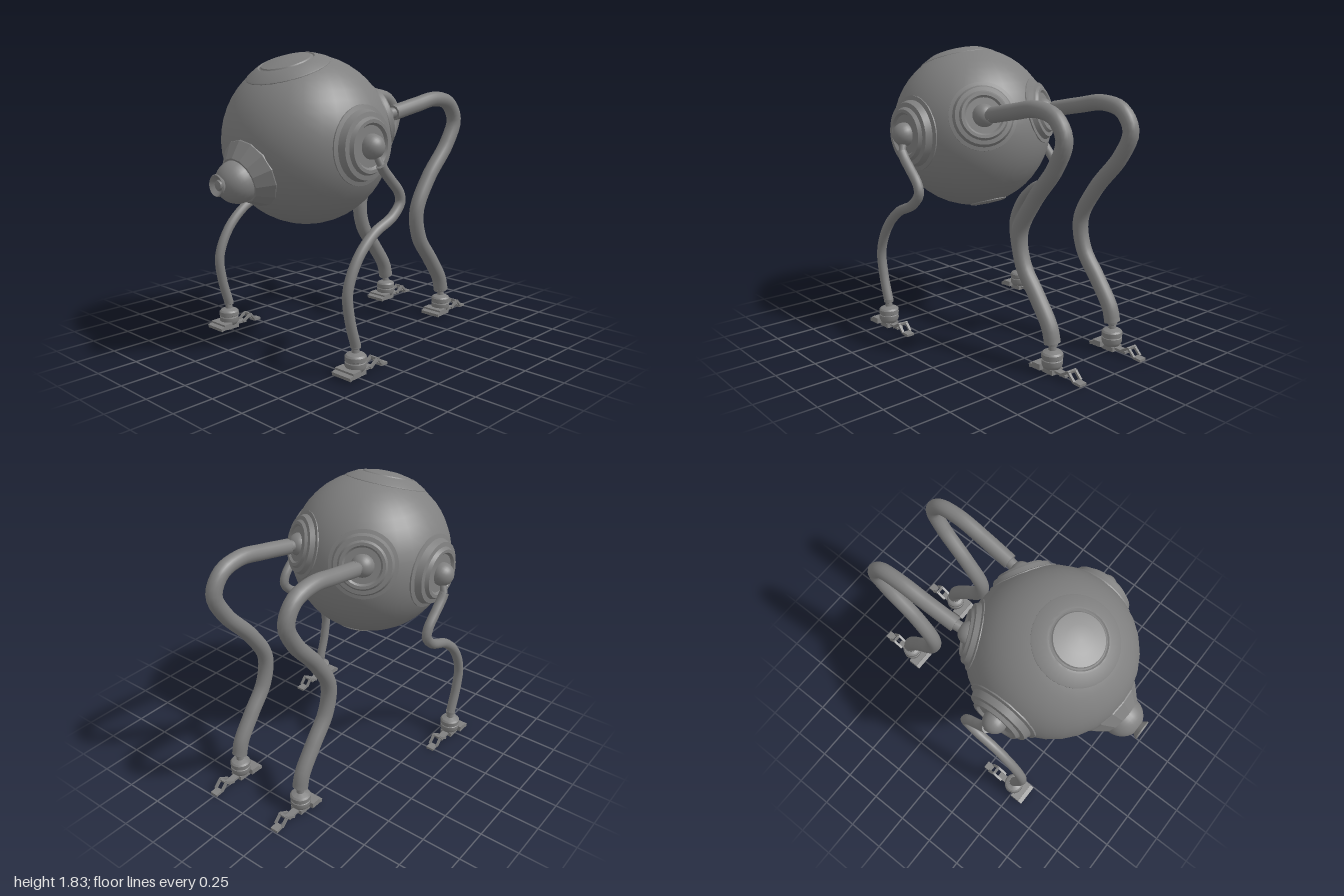
import * as THREE from 'three';
import { toCreasedNormals } from 'three/addons/utils/BufferGeometryUtils.js';

const mat = new THREE.MeshStandardMaterial({ color: 0x808080, side: THREE.DoubleSide });
const UP = new THREE.Vector3(0, 1, 0);
const CENTRE = new THREE.Vector3(0, 1.304, 0.305);
const R = 0.517;

function add(parent, name, geometry, x = 0, y = 0, z = 0) {
  const mesh = new THREE.Mesh(geometry, mat);
  mesh.name = name;
  mesh.position.set(x, y, z);
  parent.add(mesh);
  return mesh;
}

// Turned profile of [radius, height] pairs with crisp edges
function turned(profile, sides = 32, crease = 0.45) {
  const pts = profile.map(([r, h]) => new THREE.Vector2(r, h));
  return toCreasedNormals(new THREE.LatheGeometry(pts, sides), crease);
}

// Group at the body centre whose y axis points along dir
function radial(parent, name, dir) {
  const g = new THREE.Group();
  g.name = name;
  g.position.copy(CENTRE);
  g.quaternion.setFromUnitVectors(UP, dir.clone().normalize());
  parent.add(g);
  return g;
}

// Cylinder joining two points
function rod(parent, name, a, b, r) {
  const m = add(parent, name, new THREE.CylinderGeometry(r, r, a.distanceTo(b), 16));
  m.position.lerpVectors(a, b, 0.5);
  m.quaternion.setFromUnitVectors(UP, b.clone().sub(a).normalize());
}

// Flat bar in the z-y plane, from [z, y] to [z, y]
function bar(parent, name, x, [z0, y0], [z1, y1], width, thick) {
  const len = Math.hypot(z1 - z0, y1 - y0);
  const m = add(parent, name, new THREE.BoxGeometry(width, thick, len), x, (y0 + y1) / 2, (z0 + z1) / 2);
  m.rotation.x = -Math.atan2(y1 - y0, z1 - z0);
}

// Stepped socket; heights are measured from where its rim meets the body
const SOCKET = [[0.235, -0.012], [0.235, 0.006], [0.21, 0.014], [0.196, 0.055], [0.168, 0.06],
  [0.155, 0.082], [0.135, 0.082], [0.122, 0.066], [0, 0.066]];
function socket(width, height) {
  const base = Math.sqrt(R * R - (0.235 * width) ** 2);
  return turned(SOCKET.map(([r, h]) => [r * width, base + h * height]), 36);
}

const CUP = [[0, 0.025], [0.045, 0.03], [0.058, 0.045], [0.063, 0.058], [0.063, 0.084], [0.059, 0.087],
  [0.059, 0.093], [0.064, 0.096], [0.064, 0.12], [0.055, 0.13], [0.035, 0.138], [0.024, 0.142], [0.022, 0.165],
  [0.031, 0.17], [0.031, 0.19], [0, 0.19]];

// Centrelines as [z, y, sideways shift]
const FRONT_PATH = [[0.275, 1.2], [0.245, 1.16], [0.185, 1.1], [0.115, 1.025], [0.1, 0.965], [0.17, 0.885],
  [0.33, 0.81], [0.465, 0.685], [0.545, 0.51], [0.53, 0.35], [0.48, 0.18]];
const HIND_PATH = [[-0.21, 1.45], [-0.42, 1.49, 0.01], [-0.61, 1.52, 0.015], [-0.76, 1.485, 0.015],
  [-0.83, 1.37, 0.015], [-0.76, 1.21, 0.01], [-0.58, 0.995], [-0.46, 0.78], [-0.49, 0.595], [-0.61, 0.43],
  [-0.72, 0.27], [-0.745, 0.18]];

function foot(parent, name, x, z) {
  const g = new THREE.Group();
  g.name = name;
  g.position.set(x, 0, z);
  parent.add(g);
  add(g, 'ankleCup', turned(CUP, 24));
  add(g, 'sole', new THREE.BoxGeometry(0.085, 0.03, 0.09), 0, 0.02, 0);
  // Broad front toe with a sloping tip
  bar(g, 'frontToe', 0, [0.03, 0.04], [0.095, 0.038], 0.145, 0.036);
  bar(g, 'frontToeTip', 0, [0.075, 0.038], [0.12, 0.026], 0.145, 0.022);
  // Folded rear toe: root plate, twin links and end pad
  bar(g, 'rearToeRoot', 0, [-0.03, 0.025], [-0.13, 0.022], 0.045, 0.014);
  for (const s of [-1, 1]) {
    bar(g, 'rearToeUpperLink', s * 0.027, [-0.095, 0.025], [-0.163, 0.065], 0.016, 0.015);
    bar(g, 'rearToeLowerLink', s * 0.027, [-0.157, 0.066], [-0.205, 0.018], 0.016, 0.014);
  }
  bar(g, 'rearToeKnuckle', 0, [-0.152, 0.063], [-0.168, 0.061], 0.07, 0.014);
  bar(g, 'rearToePad', 0, [-0.195, 0.014], [-0.25, 0.011], 0.052, 0.016);
}

// hip: { dir, width, height, depth } of the socket and its ball
function leg(parent, name, side, x, path, radius, hip) {
  const g = new THREE.Group();
  g.name = name;
  parent.add(g);
  // Stepped socket and hip ball
  const dir = new THREE.Vector3(side * hip.dir[0], hip.dir[1], hip.dir[2]).normalize();
  const hipGroup = radial(g, name + 'Hip', dir);
  add(hipGroup, 'socketRing', socket(hip.width, hip.height));
  add(hipGroup, 'hipBall', new THREE.SphereGeometry(0.074, 24, 16), 0, hip.depth, 0);
  // Bent tube with closed ends
  const points = path.map(([z, y, shift = 0]) => new THREE.Vector3(side * (x + shift), y, z));
  const curve = new THREE.CatmullRomCurve3(points, false, 'centripetal');
  add(g, 'bentTube', new THREE.TubeGeometry(curve, 60, radius, 16));
  for (const t of [0, 1]) {
    const p = curve.getPoint(t);
    const inward = curve.getTangent(t).multiplyScalar(t ? -0.012 : 0.012);
    rod(g, 'tubeEnd', p, p.clone().add(inward), radius);
  }
  // Thin neck between ball and tube
  const ball = dir.clone().multiplyScalar(hip.depth).add(CENTRE);
  rod(g, 'neck', ball, curve.getPoint(0.005), radius * 0.7);
  foot(g, name + 'Foot', side * x, path[path.length - 1][0]);
}

export function createModel() {
  const model = new THREE.Group();
  model.name = 'fourLeggedWalker';

  add(model, 'body', new THREE.SphereGeometry(R, 32, 24), 0, CENTRE.y, CENTRE.z);

  // Round hatch on top, tilted forward
  const top = radial(model, 'topHatch', new THREE.Vector3(0, 0.947, 0.32));
  add(top, 'hatchRing', turned([[0.258, 0.435], [0.258, 0.45], [0.25, 0.457], [0.185, 0.493], [0.172, 0.497],
    [0.164, 0.491], [0.156, 0.495], [0.15, 0.502], [0.08, 0.516], [0, 0.521]], 40, 0.3));

  // Small hatch below, tilted backward
  const low = radial(model, 'lowerHatch', new THREE.Vector3(0, -0.945, -0.325));
  add(low, 'hatchRing', turned([[0.12, 0.49], [0.12, 0.507], [0.1, 0.515], [0.095, 0.509], [0.085, 0.511],
    [0.08, 0.516], [0, 0.52]], 32, 0.3));

  // Faceted snout cone, ball and flared nozzle
  const snout = radial(model, 'snout', new THREE.Vector3(0, -0.342, 0.94));
  add(snout, 'snoutCone', turned([[0.212, 0.455], [0.212, 0.478], [0.14, 0.565], [0.12, 0.565], [0.11, 0.55]], 14, 0.1));
  add(snout, 'snoutBall', new THREE.SphereGeometry(0.128, 28, 20), 0, 0.577, 0);
  const nozzle = add(model, 'nozzle', turned([[0.04, 0], [0.042, 0.018], [0.065, 0.048], [0.06, 0.055],
    [0.035, 0.032], [0.03, 0.032], [0.026, 0.042], [0, 0.048]], 20), 0, 1.1, 0.945);
  nozzle.rotation.x = Math.PI / 2;

  const frontHip = { dir: [1, 0, 0], width: 1, height: 1, depth: 0.54 };
  const hindHip = { dir: [0.25, 0.135, -0.43], width: 0.9, height: 0.7, depth: 0.5 };
  for (const side of [-1, 1]) {
    const prefix = side > 0 ? 'left' : 'right';
    leg(model, prefix + 'FrontLeg', side, 0.58, FRONT_PATH, 0.031, frontHip);
    leg(model, prefix + 'HindLeg', side, 0.256, HIND_PATH, 0.049, hindHip);
  }
  return model;
}
